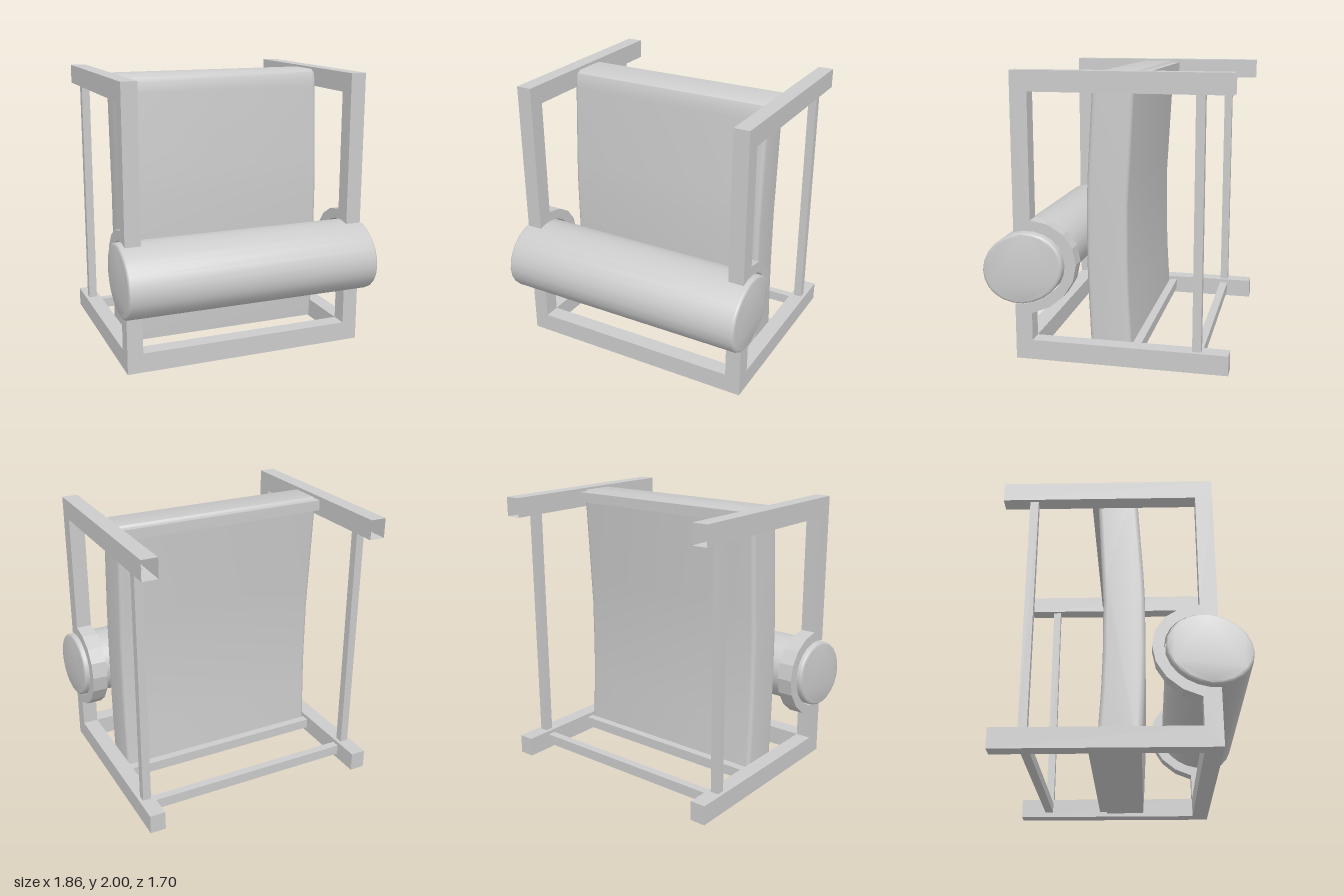
import * as THREE from 'three';
import { toCreasedNormals } from 'three/addons/utils/BufferGeometryUtils.js';

const material = new THREE.MeshStandardMaterial({ color: 0xcccccc });
const openMaterial = new THREE.MeshStandardMaterial({ color: 0xcccccc, side: THREE.DoubleSide });

// Point on the slightly skewed roller oval, as (z, y)
function ovalPoint(t, rz, ry) {
  return new THREE.Vector2(0.565 + rz * Math.cos(t), 0.66 + ry * Math.sin(t - 0.12));
}

function arc(from, to, steps, rz, ry) {
  return Array.from({ length: steps + 1 }, (_, i) => ovalPoint(from + ((to - from) * i) / steps, rz, ry));
}

// Extrudes a (z, y) outline along x, centred on x = 0, with optional rounded ends
function extrudeAcross(points, width, bevel = 0) {
  const geometry = new THREE.ExtrudeGeometry(new THREE.Shape(points), {
    depth: width - 2 * bevel,
    bevelEnabled: bevel > 0,
    bevelThickness: bevel,
    bevelSize: bevel,
    bevelOffset: -bevel,
    bevelSegments: 4,
  });
  geometry.translate(0, 0, -width / 2 + bevel);
  geometry.rotateY(-Math.PI / 2);
  return geometry;
}

export function createModel() {
  const model = new THREE.Group();
  const add = (name, geometry, x = 0, y = 0, z = 0, mat = material) => {
    const mesh = new THREE.Mesh(geometry, mat);
    mesh.name = name;
    mesh.position.set(x, y, z);
    model.add(mesh);
  };
  const v = (z, y) => new THREE.Vector2(z, y);

  // Side frame: bottom beam and front post, bent into a cradle around the roller
  const frameOutline = [
    v(-0.85, 0), v(0.63, 0),
    ...arc(-1.35, 1.35 - 2 * Math.PI, 14, 0.296, 0.262),
    v(0.63, 1.86), v(0.51, 1.86),
    ...arc(1.718, 2 * Math.PI - 1.718, 8, 0.375, 0.335),
    v(0.51, 0.14), v(-0.85, 0.14),
  ];
  const sideFrame = extrudeAcross(frameOutline, 0.113);

  // Top beam: hollow box, open at the rear end
  const topBeam = new THREE.BoxGeometry(0.113, 0.14, 1.48);
  topBeam.setIndex(Array.from(topBeam.index.array).slice(0, 30));

  for (const side of [-1, 1]) {
    const label = side > 0 ? 'left' : 'right';
    add(label + 'SideFrame', sideFrame, side * 0.836);
    add(label + 'TopBeam', topBeam, side * 0.836, 1.93, -0.11, openMaterial);
    add(label + 'RearRod', new THREE.BoxGeometry(0.06, 1.74, 0.06), side * 0.836, 1, -0.633);
  }

  // Cross bars
  add('frontCrossBar', new THREE.BoxGeometry(1.56, 0.14, 0.12), 0, 0.07, 0.57);
  const rail = new THREE.BoxGeometry(1.56, 0.075, 0.06);
  add('rearCrossBar', rail, 0, 0.075, -0.633);
  add('lowerPanelRail', rail, 0, 0.075, -0.196);
  add('upperPanelRail', rail, 0, 1.937, -0.196);

  // Gently bowed padded panel with softened edges
  const front = [v(0.118, 0.02), v(0.126, 0.14), v(0.14, 0.45), v(0.148, 0.7), v(0.148, 1.1),
    v(0.14, 1.3), v(0.105, 1.86), v(0.1, 1.93), v(0.085, 1.97), v(0.05, 1.99)];
  const back = [v(-0.17, 1.99), v(-0.187, 1.97), v(-0.18, 1.86), v(-0.149, 1.3), v(-0.138, 1.1),
    v(-0.138, 0.7), v(-0.146, 0.45), v(-0.164, 0.14), v(-0.17, 0.02)];
  add('paddedPanel', toCreasedNormals(extrudeAcross([...front, ...back], 1.56, 0.03), 0.6));

  // Oval roller resting in the cradles
  const rollerOutline = arc(0, 2 * Math.PI, 24, 0.286, 0.252).slice(0, -1);
  add('roller', toCreasedNormals(extrudeAcross(rollerOutline, 1.855, 0.02), 0.6));

  return model;
}
